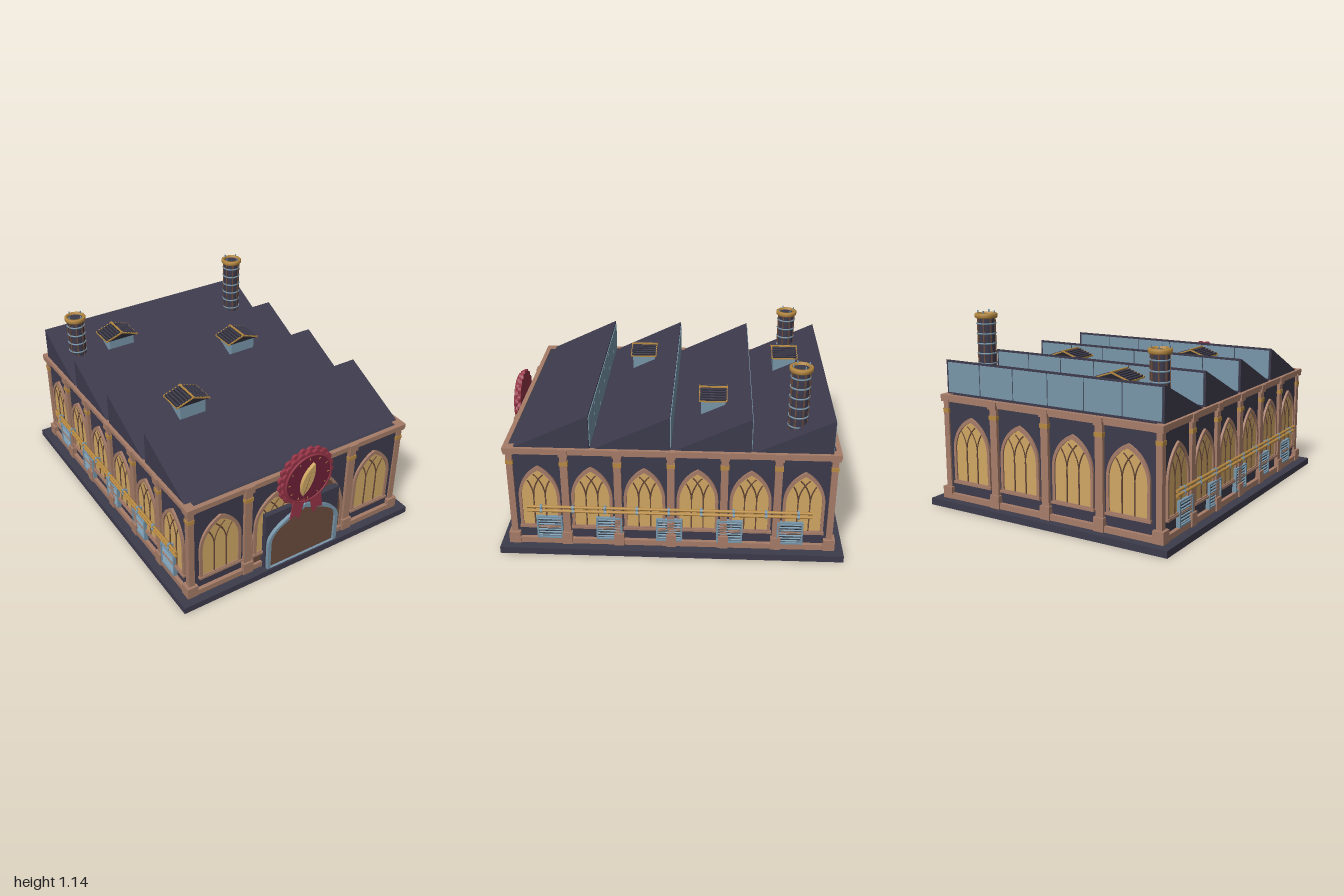
import * as THREE from 'three';

const mat = (name, color) => {
  const m = new THREE.MeshStandardMaterial({ color });
  m.name = name;
  return m;
};

export function createModel() {
  const M = {
    wall: mat('slate wall', 0x3d3b4c), trim: mat('clay trim', 0xa67c68), gold: mat('brass', 0xb88a42),
    pane: mat('amber glass', 0xd0a763), brown: mat('brown wood', 0x6c4c3c), teal: mat('blue steel', 0x7896aa),
    red: mat('ribbon red', 0x953446), wine: mat('wine red', 0x6d2036), black: mat('soot', 0x25252d),
  };
  const model = new THREE.Group();
  model.name = 'factory';
  const X = 0.72, ZF = 0.905, ZB = -0.925, ZM = -0.01;

  const add = (parent, name, geo, m, x = 0, y = 0, z = 0) => {
    const mesh = new THREE.Mesh(geo, m);
    mesh.name = name;
    mesh.position.set(x, y, z);
    parent.add(mesh);
    return mesh;
  };
  const box = (parent, name, m, w, h, d, x, y, z) => add(parent, name, new THREE.BoxGeometry(w, h, d), m, x, y, z);
  const group = (name, parent = model) => {
    const g = new THREE.Group();
    g.name = name;
    parent.add(g);
    return g;
  };
  const extrude = (shape, depth) => new THREE.ExtrudeGeometry(shape, { depth, bevelEnabled: false, curveSegments: 12 });
  const poly = (pts) => new THREE.Shape(pts.map((p) => new THREE.Vector2(p[0], p[1])));

  // Outline of a pointed arch made from two circular arcs
  const archPoints = (h, y0, spring, apex) => {
    const rise = apex - spring, R = (h * h + rise * rise) / (2 * h), end = Math.asin(rise / R), right = [];
    for (let i = 0; i <= 10; i++) {
      const a = (end * i) / 10;
      right.push([h - R + R * Math.cos(a), spring + R * Math.sin(a)]);
    }
    const left = right.slice(0, -1).reverse().map(([x, y]) => [-x, y]);
    return [[-h, y0], [h, y0], ...right, ...left];
  };
  const frame = (outer, inner, depth) => {
    const s = poly(outer);
    s.holes.push(new THREE.Path(inner.map((p) => new THREE.Vector2(p[0], p[1])).reverse()));
    return extrude(s, depth);
  };
  // Put an object against one of the four walls
  const place = (obj, side, along) => {
    if (side === 'front') obj.position.set(along, 0, ZF);
    if (side === 'back') { obj.position.set(along, 0, ZB); obj.rotation.y = Math.PI; }
    if (side === 'left') { obj.position.set(X, 0, along); obj.rotation.y = Math.PI / 2; }
    if (side === 'right') { obj.position.set(-X, 0, along); obj.rotation.y = -Math.PI / 2; }
    model.add(obj);
    return obj;
  };

  // Base slab and wall block
  box(model, 'baseSlab', M.wall, 1.6, 0.04, 1.978, 0, 0.02, -0.011);
  box(model, 'walls', M.wall, 2 * X, 0.62, ZF - ZB, 0, 0.35, ZM);

  // Plinth and cornice rings
  const ring = (name, out, y, h) => {
    const w = X + out, zf = ZF + out, zb = ZB - out;
    for (const s of [-1, 1]) box(model, name, M.trim, out + 0.005, h, zf - zb, s * (w - out / 2), y, ZM);
    for (const z of [zf - out / 2, zb + out / 2]) box(model, name, M.trim, 2 * w, h, out + 0.005, 0, y, z);
  };
  ring('plinth', 0.02, 0.057, 0.034);
  ring('corniceLower', 0.014, 0.634, 0.018);
  ring('cornice', 0.022, 0.653, 0.024);

  // Saw-tooth roof with glazed rear faces
  const roofStart = 0.887, pitch = 0.449;
  const tooth = extrude(poly([[0, 0.655], [pitch - 0.006, 0.655], [pitch - 0.006, 0.865]]), 1.45);
  tooth.rotateY(Math.PI / 2); // profile runs towards -z
  for (let i = 0; i < 4; i++) {
    const z0 = roofStart - i * pitch, zr = z0 - pitch + 0.006;
    add(model, 'roofTooth', tooth, M.wall, -0.725, 0, z0);
    for (let p = 0; p < 6; p++)
      box(model, 'skylightPane', M.teal, 0.232, 0.176, 0.005, (p - 2.5) * 0.238, 0.763, zr - 0.002);
  }

  // Pointed windows with intersecting tracery
  const makeWindow = (h, y0, apex) => {
    const g = new THREE.Group();
    g.name = 'window';
    const spring = apex - 0.2, t = 0.017, ih = h - t, ia = apex - t * 1.5;
    const outer = archPoints(h, y0, spring, apex), inner = archPoints(ih, y0 + t, spring, ia);
    add(g, 'windowFrame', frame(outer, inner, 0.014), M.trim);
    add(g, 'windowGlass', extrude(poly(inner), 0.005), M.pane);
    const rise = ia - spring, R = (ih * ih + rise * rise) / (2 * ih);
    for (const m of [-ih / 3, ih / 3]) {
      box(g, 'mullion', M.brown, 0.007, spring - y0 - t, 0.005, m, (spring + y0 + t) / 2, 0.007);
      for (const s of [-1, 1]) {
        const pts = [];
        for (let a = 0; a < 1.5; a += 0.08) {
          const x = m + s * R * (1 - Math.cos(a)), y = spring + R * Math.sin(a);
          if (Math.abs(x) > ih - R + Math.sqrt(Math.max(0, R * R - (y - spring) ** 2)) || y > ia) break;
          pts.push(new THREE.Vector3(x, y, 0.006));
        }
        add(g, 'tracery', new THREE.TubeGeometry(new THREE.CatmullRomCurve3(pts), 10, 0.004, 4), M.brown);
      }
    }
    box(g, 'windowSill', M.trim, 2 * h + 0.01, 0.014, 0.02, 0, y0 + 0.004, 0.01);
    return g;
  };
  const wideWindow = makeWindow(0.134, 0.143, 0.545), sideWindow = makeWindow(0.118, 0.145, 0.547);
  for (const x of [-0.53, -0.18, 0.18, 0.53]) {
    place(wideWindow.clone(), 'back', x);
    if (x !== 0.18) place(wideWindow.clone(), 'front', x).position.z += x === -0.18 ? 0.008 : 0;
  }

  // Pilasters with foot, brass collar and head
  const pilaster = (w) => {
    const g = new THREE.Group();
    g.name = 'pilaster';
    box(g, 'pilasterShaft', M.trim, w, 0.6, 0.022, 0, 0.34, 0.009);
    box(g, 'pilasterFoot', M.trim, w + 0.016, 0.078, 0.034, 0, 0.079, 0.014);
    box(g, 'pilasterCollar', M.gold, w + 0.006, 0.024, 0.027, 0, 0.57, 0.011);
    box(g, 'pilasterHead', M.trim, w + 0.01, 0.045, 0.034, 0, 0.642, 0.014);
    return g;
  };
  for (const x of [-0.355, 0.355]) place(pilaster(0.048), 'front', x);
  for (const x of [-0.355, 0, 0.355]) place(pilaster(0.048), 'back', x);
  for (const side of ['left', 'right']) {
    for (let i = 0; i < 6; i++) place(sideWindow.clone(), side, 0.74 - i * 0.3);
    for (let i = 1; i < 6; i++) place(pilaster(0.042), side, 0.89 - i * 0.3);
  }
  for (const sx of [-1, 1]) for (const z of [ZF - 0.008, ZB + 0.008]) {
    const c = group('cornerPier');
    box(c, 'cornerShaft', M.trim, 0.036, 0.6, 0.036, sx * (X - 0.006), 0.34, z);
    box(c, 'cornerFoot', M.trim, 0.066, 0.07, 0.066, sx * (X - 0.004), 0.075, z);
    box(c, 'cornerCollar', M.gold, 0.042, 0.024, 0.042, sx * (X - 0.006), 0.57, z);
    box(c, 'cornerHead', M.trim, 0.056, 0.04, 0.056, sx * (X - 0.004), 0.645, z);
  }

  // Louvred units and twin pipes along both sides
  for (const side of ['left', 'right']) {
    for (let i = 0; i < 5; i++) {
      const g = place(new THREE.Group(), side, 0.69 - i * 0.345);
      g.name = 'louvreUnit';
      box(g, 'louvreBack', M.black, 0.14, 0.135, 0.014, 0, 0.148, 0.007);
      for (const s of [-1, 1]) {
        box(g, 'louvreSide', M.teal, 0.01, 0.145, 0.024, s * 0.07, 0.148, 0.012);
        box(g, 'louvreRail', M.teal, 0.15, 0.01, 0.024, 0, 0.148 + s * 0.068, 0.012);
      }
      for (let k = 0; k < 7; k++)
        box(g, 'louvreSlat', M.teal, 0.132, 0.009, 0.014, 0, 0.094 + k * 0.018, 0.013).rotation.x = 0.5;
    }
    const p = place(new THREE.Group(), side, 0);
    p.name = 'pipes';
    for (const y of [0.266, 0.292])
      add(p, 'pipe', new THREE.CylinderGeometry(0.009, 0.009, 1.62, 10), M.gold, 0, y, 0.029).rotation.z = Math.PI / 2;
    for (let i = 0; i < 9; i++) {
      const x = (i - 4) * 0.183;
      box(p, 'pipeBracket', M.teal, 0.012, 0.03, 0.03, x, 0.279, 0.015);
      for (const y of [0.266, 0.292])
        add(p, 'pipeCollar', new THREE.CylinderGeometry(0.012, 0.012, 0.014, 10), M.teal, x, y, 0.029).rotation.z = Math.PI / 2;
    }
  }

  // Great arch behind the porch
  const bigOuter = archPoints(0.325, 0.06, 0.2, 0.62), bigInner = archPoints(0.308, 0.061, 0.2, 0.6);
  add(model, 'greatArchFrame', frame(bigOuter, bigInner, 0.012), M.trim, 0, 0, ZF);
  add(model, 'greatArchPanel', extrude(poly(bigInner), 0.006), M.brown, 0, 0, ZF);

  // Porch with steel-edged door
  const doorPoints = (h, spring, apex) => {
    const curve = new THREE.CubicBezierCurve(new THREE.Vector2(h, spring), new THREE.Vector2(h - 0.005, spring + 0.09),
      new THREE.Vector2(h * 0.55, apex - 0.055), new THREE.Vector2(0, apex)).getPoints(12).map((p) => [p.x, p.y]);
    return [[-h, 0.042], [h, 0.042], ...curve, ...curve.slice(0, -1).reverse().map(([x, y]) => [-x, y])];
  };
  const porch = group('porch');
  box(porch, 'porchWall', M.wall, 0.51, 0.383, 0.04, 0, 0.232, 0.93);
  const dOut = doorPoints(0.248, 0.225, 0.421), dIn = doorPoints(0.226, 0.225, 0.397);
  add(porch, 'doorFrame', frame(dOut, dIn, 0.022), M.teal, 0, 0, 0.948);
  add(porch, 'door', extrude(poly(dIn), 0.005), M.brown, 0, 0, 0.95);

  // Rosette with ribbon tails and a leaf-shaped pointer
  const rosette = group('rosette');
  rosette.position.set(0, 0.607, 0);
  const scallop = (r, lobe, turn) => {
    const pts = [];
    for (let i = 0; i < 160; i++) {
      const a = (i / 160) * Math.PI * 2, q = r + lobe * Math.abs(Math.sin(10 * a + turn));
      pts.push([q * Math.cos(a), q * Math.sin(a)]);
    }
    return poly(pts);
  };
  add(rosette, 'rosetteBack', extrude(scallop(0.172, 0.016, 0), 0.018), M.red, 0, 0, 0.938);
  add(rosette, 'rosetteFront', extrude(scallop(0.163, 0.014, Math.PI / 2), 0.016), M.red, 0, 0, 0.956);
  const disc = (name, r, d, m, z) =>
    add(rosette, name, new THREE.CylinderGeometry(r, r, d, 48), m, 0, 0, z).rotation.x = Math.PI / 2;
  disc('rosetteDisc', 0.153, 0.02, M.wine, 0.97);
  add(rosette, 'rosetteRim', new THREE.TorusGeometry(0.153, 0.006, 8, 48), M.red, 0, 0, 0.979);
  for (let i = 0; i < 12; i++) {
    const a = (i * Math.PI) / 6;
    box(rosette, 'tick', M.gold, 0.014, 0.004, 0.004, 0.132 * Math.cos(a), 0.132 * Math.sin(a), 0.981).rotation.z = a;
  }
  const leaf = new THREE.Shape();
  leaf.moveTo(0.024, 0.103);
  leaf.bezierCurveTo(0.036, 0.03, 0.02, -0.04, -0.048, -0.092);
  leaf.bezierCurveTo(-0.072, -0.03, -0.06, 0.05, 0.024, 0.103);
  add(rosette, 'leafPointer', extrude(leaf, 0.02), M.pane, 0, 0, 0.98);
  add(rosette, 'leafVein', extrude(poly([[-0.048, -0.09], [-0.044, -0.09], [0.008, 0.07]]), 0.001), M.brown, 0, 0, 0.9995);
  for (const s of [-1, 1]) {
    const pts = [[0.015, -0.13], [0.095, -0.13], [0.113, -0.245], [0.078, -0.232], [0.05, -0.268]].map(([x, y]) => [s * x, y]);
    add(rosette, 'ribbonTail', extrude(poly(pts), 0.008), M.red, 0, 0, 0.972 - 0.001 * s);
  }

  // Chimneys
  const chimney = (x, top) => {
    const g = group('chimney');
    g.position.set(x, 0, -0.71);
    const h = top - 0.68;
    add(g, 'chimneyShaft', new THREE.CylinderGeometry(0.05, 0.055, h, 16), M.wall, 0, 0.68 + h / 2 - 0.012, 0);
    for (let y = top - 0.06; y > 0.76; y -= 0.058) {
      const band = add(g, 'chimneyBand', new THREE.TorusGeometry(0.054, 0.005, 6, 24), M.teal, 0, y, 0);
      band.rotation.x = Math.PI / 2;
    }
    const cap = [[0.045, -0.03], [0.058, -0.03], [0.066, -0.022], [0.066, -0.004], [0.06, 0], [0.045, 0], [0.045, -0.03]];
    add(g, 'chimneyCap', new THREE.LatheGeometry(cap.map((p) => new THREE.Vector2(p[0], p[1])), 24), M.gold, 0, top, 0);
    for (let i = 0; i < 8; i++) {
      const a = ((i + 0.5) * Math.PI) / 4, c = Math.cos(a), s = Math.sin(a);
      box(g, 'chimneyRib', M.brown, 0.008, h - 0.03, 0.008, 0.052 * c, 0.68 + h / 2 - 0.012, 0.052 * s).rotation.y = -a;
      if (i % 2) box(g, 'chimneySpike', M.teal, 0.006, 0.03, 0.006, 0.05 * c, top, 0.05 * s);
    }
  };
  chimney(-0.588, 1.013);
  chimney(0.582, 1.124);

  // Roof vents with barred gable caps
  for (const [x, z] of [[-0.32, -0.684], [0.32, -0.237], [-0.32, 0.212]]) {
    const g = group('roofVent');
    g.position.set(x, 0, z);
    box(g, 'ventBody', M.teal, 0.17, 0.14, 0.14, 0, 0.76, 0);
    add(g, 'ventCap', extrude(poly([[-0.108, 0.822], [0.108, 0.822], [0.108, 0.829], [0, 0.865], [-0.108, 0.829]]), 0.15), M.black, 0, 0, -0.075);
    box(g, 'ventRidge', M.gold, 0.01, 0.01, 0.166, 0, 0.866, 0);
    for (const s of [-1, 1]) {
      for (let i = 1; i < 6; i++)
        box(g, 'ventBar', M.wall, 0.009, 0.01, 0.156, s * i * 0.0195, 0.866 - i * 0.0065, 0).rotation.z = -s * 0.32;
      for (const e of [-1, 1])
        box(g, 'ventRake', M.gold, 0.116, 0.008, 0.007, s * 0.055, 0.846, e * 0.078).rotation.z = -s * 0.32;
      box(g, 'ventEave', M.gold, 0.007, 0.008, 0.16, s * 0.108, 0.825, 0);
    }
  }
  return model;
}
